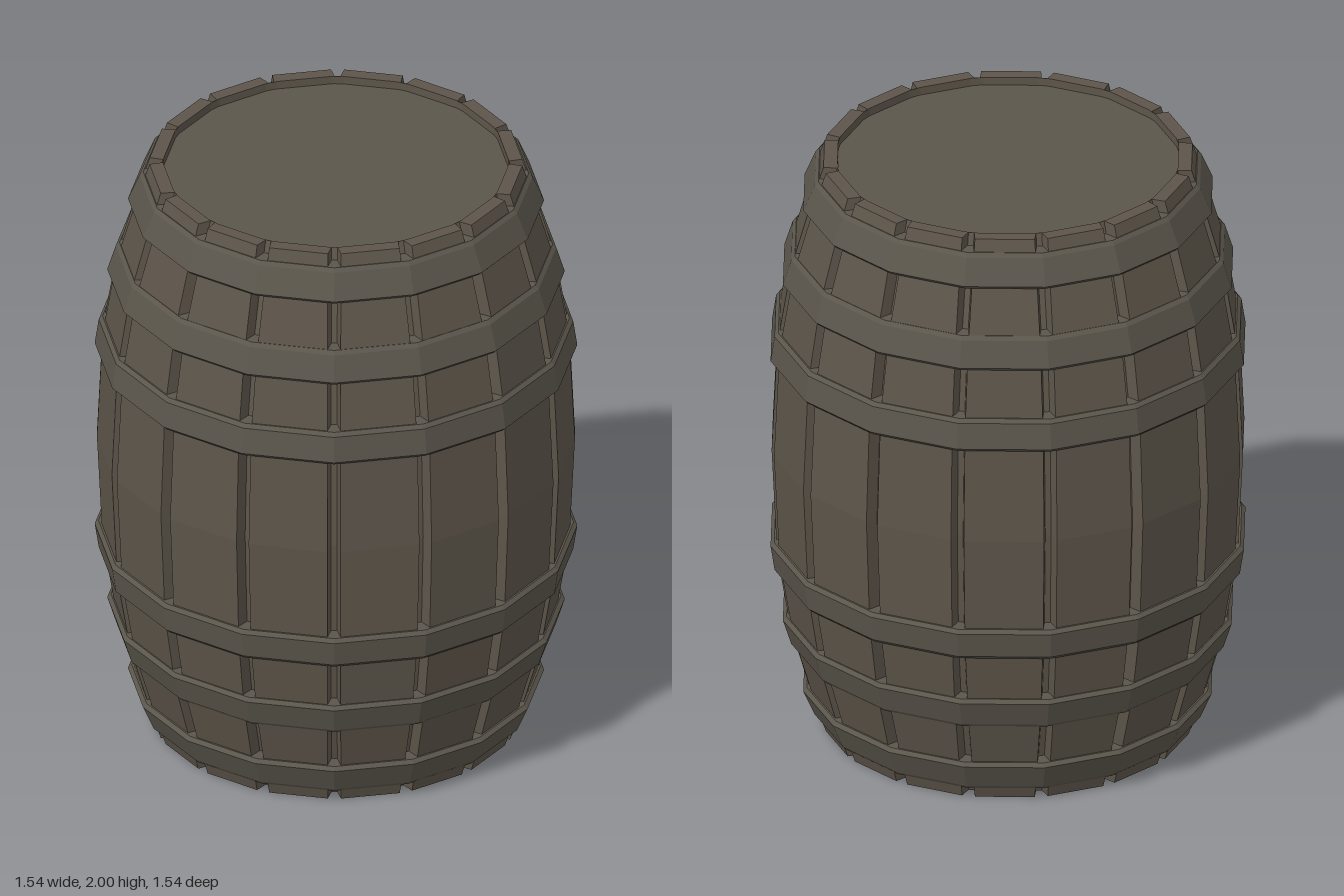
import * as THREE from 'three';

const SIDES = 16;
const STEP = (Math.PI * 2) / SIDES;

const staveWood = new THREE.MeshStandardMaterial({ color: 0x5d554a });
const hoopMetal = new THREE.MeshStandardMaterial({ color: 0x5b564c });
const lidWood = new THREE.MeshStandardMaterial({ color: 0x5b564b });

// Gives every face its own flat normal.
function faceted(geometry) {
  const flat = geometry.index ? geometry.toNonIndexed() : geometry;
  flat.computeVertexNormals();
  return flat;
}

// Barrel wall: flat staves parted by narrow grooves, swept along a bulging profile.
function staveGeometry() {
  const half = [[0.763, 1], [0.745, 1.38], [0.7, 1.65], [0.628, 1.9], [0.595, 2]];
  const inner = 0.55;
  const rows = [
    { r: inner, y: 0.03, depth: 0 }, { r: inner, y: 0, depth: 0 },
    ...half.slice(1).reverse().map(([r, y]) => ({ r, y: 2 - y, depth: 0.043 })),
    ...half.map(([r, y]) => ({ r, y, depth: 0.043 })),
    { r: inner, y: 2, depth: 0 }, { r: inner, y: 1.97, depth: 0 },
  ];
  // Offset from each groove's centre line, and whether the point is on its floor.
  const groove = [[-0.021, 0], [-0.01, 1], [0.01, 1], [0.021, 0]];
  const count = SIDES * groove.length;
  const positions = [];
  const index = [];
  for (const { r, y, depth } of rows) {
    for (let s = 0; s < SIDES; s++) {
      for (const [offset, floor] of groove) {
        const angle = s * STEP + offset / r;
        const radius = r - floor * depth;
        positions.push(Math.sin(angle) * radius, y, Math.cos(angle) * radius);
      }
    }
  }
  for (let j = 0; j < rows.length - 1; j++) {
    for (let i = 0; i < count; i++) {
      const a = j * count + i;
      const b = j * count + ((i + 1) % count);
      index.push(a, b, b + count, a, b + count, a + count);
    }
  }
  const geometry = new THREE.BufferGeometry();
  geometry.setAttribute('position', new THREE.Float32BufferAttribute(positions, 3));
  geometry.setIndex(index);
  return faceted(geometry);
}

// Hoop: a bevelled band, wider toward the middle of the barrel.
function hoopGeometry(y0, y1, r0, r1) {
  const bevel = 0.012;
  const points = [
    [r0 - 0.07, y0], [r0 - bevel, y0], [r0, y0 + bevel],
    [r1, y1 - bevel], [r1 - bevel, y1], [r1 - 0.07, y1],
  ].map(([r, y]) => new THREE.Vector2(r, y));
  return faceted(new THREE.LatheGeometry(points, SIDES));
}

export function createModel() {
  const barrel = new THREE.Group();
  barrel.name = 'barrel';
  const add = (name, geometry, material, y = 0) => {
    const mesh = new THREE.Mesh(geometry, material);
    mesh.name = name;
    mesh.position.y = y;
    barrel.add(mesh);
  };

  add('staves', staveGeometry(), staveWood);

  // Recessed end boards
  const board = faceted(new THREE.CylinderGeometry(0.553, 0.553, 0.03, SIDES));
  add('topLid', board, lidWood, 1.958);
  add('bottomLid', board, lidWood, 0.042);

  // Three hoops above the middle and three mirrored below
  const hoops = [
    ['middle', 1.32, 1.43, 0.77, 0.757],
    ['inner', 1.59, 1.7, 0.73, 0.703],
    ['end', 1.85, 1.96, 0.664, 0.627],
  ];
  for (const [name, y0, y1, r0, r1] of hoops) {
    add(name + 'UpperHoop', hoopGeometry(y0, y1, r0, r1), hoopMetal);
    add(name + 'LowerHoop', hoopGeometry(2 - y1, 2 - y0, r1, r0), hoopMetal);
  }
  return barrel;
}
